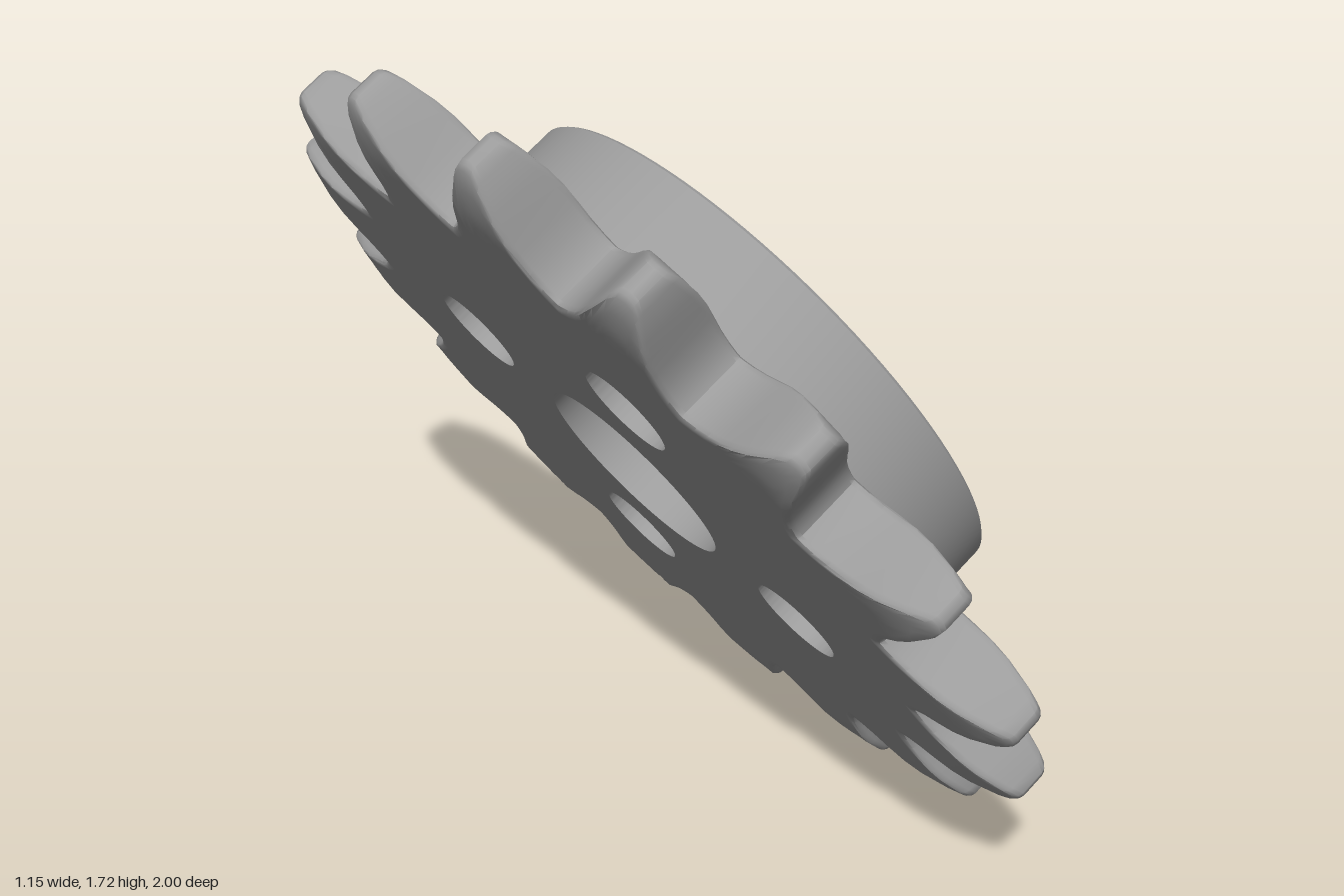
import * as THREE from 'three';
import { toCreasedNormals } from 'three/addons/utils/BufferGeometryUtils.js';

const TEETH = 16, HALF = 0.0775, FRONT = 0.2945;   // plate half thickness, hub face height
const HUB_R = 0.617, BORE_R = 0.229, BOLT_R = 0.103, BOLT_CIRCLE = 0.45;
const BOLT_ANGLES = [0, 1, 2, 3].map(i => Math.PI * (0.5 + 0.1875 + i * 0.5));

// Half a tooth from tip to root: radius, half width
const FLANK = [[1.012, 0], [1.008, 0.018], [0.987, 0.033], [0.93, 0.056], [0.89, 0.072],
  [0.85, 0.087], [0.815, 0.104], [0.79, 0.123], [0.775, 0.141]];

// Outline of the toothed plate in polar form
function outline() {
  const pts = [];
  for (let t = 0; t < TEETH; t++) {
    const mid = Math.PI / 2 + (t + 0.5) * 2 * Math.PI / TEETH;
    for (const [r, w] of FLANK.slice(1).reverse()) pts.push([r, mid - w / r]);
    for (const [r, w] of FLANK) pts.push([r, mid + w / r]);
    pts.push([0.77, mid + Math.PI / TEETH]);
  }
  return pts;
}

// Teeth thin out in a curve towards their tips
function halfThickness(r) {
  const t = Math.max(0, (r - 0.84) / 0.17);
  return HALF - 0.036 * t * t;
}

// Toothed ring: one radial cross-section per outline point, softened at the rim
function toothedRing() {
  const inner = 0.63, steps = 8, pos = [], index = [];
  const pts = outline();
  let rows = 0;
  for (const [r, a] of pts) {
    const half = [];
    for (let i = 0; i <= steps; i++) {
      const q = inner + (r - 0.012 - inner) * i / steps;
      half.push([q, halfThickness(q)]);
    }
    half.push([r - 0.003, halfThickness(r) - 0.004], [r, halfThickness(r) - 0.014]);
    const section = [...half, ...half.slice().reverse().map(([q, z]) => [q, -z])];
    rows = section.length;
    for (const [q, z] of section) pos.push(q * Math.cos(a), q * Math.sin(a), z);
  }
  for (let j = 0; j < pts.length; j++) {
    const k = (j + 1) % pts.length;
    for (let i = 0; i < rows - 1; i++) {
      const a = j * rows + i, c = k * rows + i;
      index.push(a, a + 1, c, c, a + 1, c + 1);
    }
  }
  const g = new THREE.BufferGeometry();
  g.setAttribute('position', new THREE.Float32BufferAttribute(pos, 3));
  g.setIndex(index);
  return toCreasedNormals(g, 0.8);
}

// Flat disc pierced by the bore and bolt holes; side is 1 for front, -1 for back
function piercedDisc(radius, z, side) {
  const shape = new THREE.Shape().absarc(0, 0, radius, 0, Math.PI * 2, false);
  const hole = (x, y, r) =>
    shape.holes.push(new THREE.Path().absarc(x, y, r, 0, Math.PI * 2, true));
  hole(0, 0, BORE_R);
  for (const a of BOLT_ANGLES) hole(side * BOLT_CIRCLE * Math.cos(a), BOLT_CIRCLE * Math.sin(a), BOLT_R);
  const g = new THREE.ShapeGeometry(shape, 48);
  if (side < 0) g.rotateY(Math.PI);
  return g.translate(0, 0, z);
}

// Turned wall about the z axis; a falling profile faces inwards
function turnedWall(profile, x = 0, y = 0) {
  const g = new THREE.LatheGeometry(profile.map(p => new THREE.Vector2(...p)), 96);
  return toCreasedNormals(g.rotateX(Math.PI / 2).translate(x, y, 0), 0.5);
}

export function createModel() {
  const steel = new THREE.MeshStandardMaterial({ color: 0x9c9c9c });
  steel.name = 'grey steel';
  const sprocket = new THREE.Group();
  sprocket.name = 'sprocket';
  const add = (name, geometry) => {
    const mesh = new THREE.Mesh(geometry, steel);
    mesh.name = name;
    sprocket.add(mesh);
  };

  add('toothedPlate', toothedRing());
  add('plateBack', piercedDisc(0.64, -HALF, -1));

  // Hub with a small fillet at the plate and an eased front edge
  add('hubWall', turnedWall([[0.64, HALF], [0.627, HALF + 0.004], [0.62, HALF + 0.011],
    [HUB_R, HALF + 0.023], [HUB_R, FRONT - 0.006], [HUB_R - 0.006, FRONT]]));
  add('hubFace', piercedDisc(HUB_R - 0.006, FRONT, 1));

  // Through holes
  const through = r => [[r, FRONT], [r, -HALF]];
  add('bore', turnedWall(through(BORE_R)));
  for (const a of BOLT_ANGLES)
    add('boltHole', turnedWall(through(BOLT_R), BOLT_CIRCLE * Math.cos(a), BOLT_CIRCLE * Math.sin(a)));

  // Tilt the axle direction
  const n = new THREE.Vector3(0.845, 0.525, 0.1).normalize();
  const up = new THREE.Vector3(0, 1, 0).addScaledVector(n, -n.y).normalize();
  const across = new THREE.Vector3().crossVectors(up, n);
  sprocket.quaternion.setFromRotationMatrix(new THREE.Matrix4().makeBasis(across, up, n));
  sprocket.position.set(0, 0.868, 0);

  const model = new THREE.Group();
  model.name = 'model';
  model.add(sprocket);
  return model;
}
